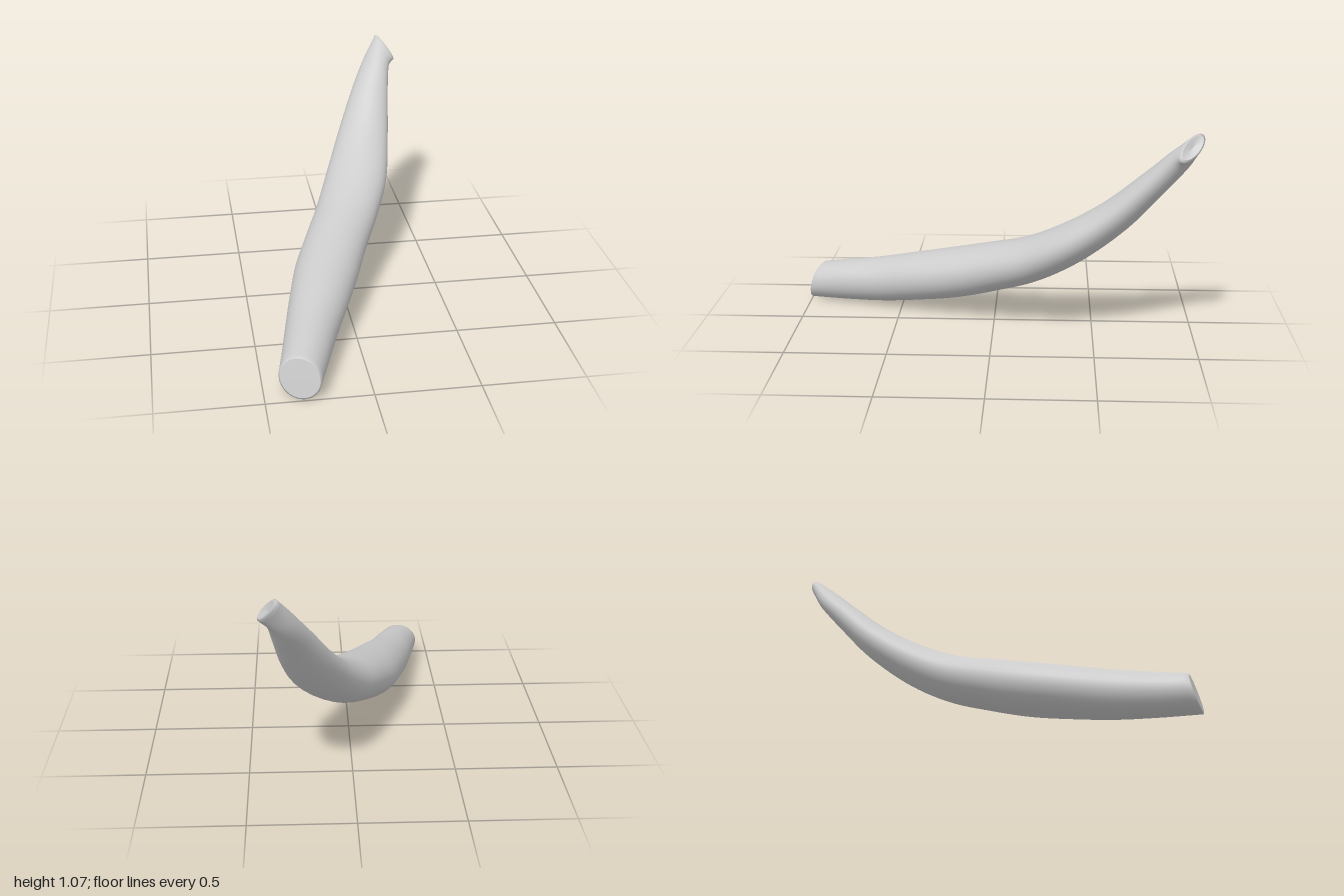
import * as THREE from 'three';

const V = (x, y, z) => new THREE.Vector3(x, y, z);
const AROUND = 32, ALONG = 72;

// Centre line from the thick front end to the tip: x, y, z, half width, half height
const KEYS = [
  [-0.335, 0.10, 0.96, 0.10, 0.10],
  [-0.29, 0.115, 0.80, 0.112, 0.107],
  [-0.235, 0.14, 0.60, 0.127, 0.118],
  [-0.172, 0.18, 0.40, 0.146, 0.126],
  [-0.107, 0.225, 0.20, 0.160, 0.130],
  [-0.03, 0.285, 0.00, 0.160, 0.125],
  [0.057, 0.358, -0.20, 0.163, 0.115],
  [0.142, 0.475, -0.40, 0.163, 0.103],
  [0.21, 0.63, -0.60, 0.137, 0.086],
  [0.272, 0.80, -0.765, 0.104, 0.069],
  [0.325, 0.93, -0.88, 0.078, 0.056],
  [0.385, 1.01, -0.94, 0.07, 0.05],
];

// Slanted cuts at both ends: half axes of the end sections
const FRONT_CUT = [V(0.095, 0, 0.033), V(0, 0.097, -0.025)];
const TIP_CUT = [V(0.035, -0.035, 0.06), V(-0.028, 0.048, 0)];

// Skin a list of closed rings
function skin(rings) {
  const pos = [], index = [];
  rings.forEach((ring) => ring.forEach((p) => pos.push(p.x, p.y, p.z)));
  for (let i = 0; i < rings.length - 1; i++) {
    for (let j = 0; j < AROUND; j++) {
      const k = (j + 1) % AROUND;
      const a = i * AROUND + j, b = i * AROUND + k;
      const c = a + AROUND, d = b + AROUND;
      index.push(a, c, b, b, c, d);
    }
  }
  const g = new THREE.BufferGeometry();
  g.setAttribute('position', new THREE.Float32BufferAttribute(pos, 3));
  g.setIndex(index);
  g.computeVertexNormals();
  return g;
}

const ellipse = (c, a, b, scale = 1) => Array.from({ length: AROUND }, (_, j) => {
  const t = (j / AROUND) * Math.PI * 2;
  return c.clone().addScaledVector(a, Math.cos(t) * scale).addScaledVector(b, Math.sin(t) * scale);
});

export function createModel() {
  const group = new THREE.Group();
  group.name = 'curvedHorn';
  const material = new THREE.MeshStandardMaterial({ color: 0xcccccc, roughness: 0.8 });
  const add = (name, geometry) => {
    const mesh = new THREE.Mesh(geometry, material);
    mesh.name = name;
    group.add(mesh);
  };

  // Section axes at each key, square to the centre line except at the cuts
  const spine = new THREE.CatmullRomCurve3(KEYS.map((k) => V(k[0], k[1], k[2])), false, 'catmullrom');
  const last = KEYS.length - 1;
  const axes = KEYS.map((k, i) => {
    if (i === 0) return FRONT_CUT;
    if (i === last) return TIP_CUT;
    const t = spine.getTangent(i / last);
    const side = t.clone().cross(V(0, 1, 0)).normalize();
    const up = side.clone().cross(t).normalize();
    return [side.multiplyScalar(k[3]), up.multiplyScalar(k[4])];
  });
  const sideCurve = new THREE.CatmullRomCurve3(axes.map((a) => a[0]), false, 'catmullrom');
  const upCurve = new THREE.CatmullRomCurve3(axes.map((a) => a[1]), false, 'catmullrom');

  // Body, with a small rounded rim at each end
  const rings = [];
  for (let i = 0; i <= ALONG; i++) {
    const u = i / ALONG;
    rings.push(ellipse(spine.getPoint(u), sideCurve.getPoint(u), upCurve.getPoint(u)));
  }
  const rim = (u, [a, b], sign, scale, lift) => {
    const n = a.clone().cross(b).normalize().multiplyScalar(sign);
    return ellipse(spine.getPoint(u).addScaledVector(n, lift), a, b, scale);
  };
  const frontRim = rim(0, FRONT_CUT, 1, 0.93, 0.005);
  const tipRim = rim(1, TIP_CUT, -1, 0.85, 0.005);
  add('body', skin([frontRim, ...rings, tipRim]));

  // Flat front face and slightly hollow tip face
  add('frontFace', skin([rim(0, FRONT_CUT, 1, 0, 0.006), frontRim]));
  add('tipFace', skin([tipRim, rim(1, TIP_CUT, -1, 0, -0.006)]));
  return group;
}
